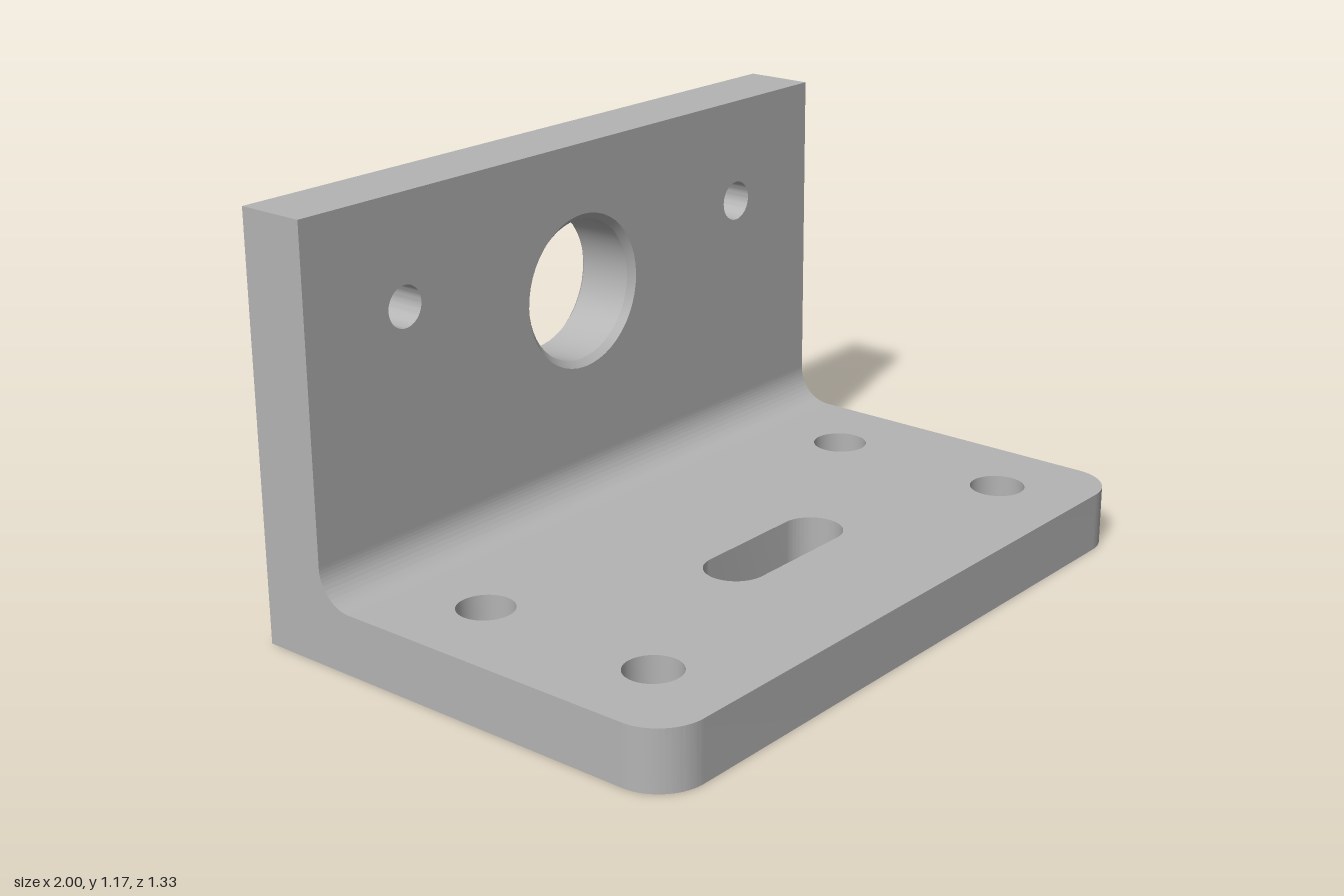
import * as THREE from 'three';
import { toCreasedNormals } from 'three/addons/utils/BufferGeometryUtils.js';

const W = 1, BACK = -0.667, FRONT = 0.667, WALL = -0.467; // half width and z planes
const BASE_H = 0.167, HEIGHT = 1.167;
const CORNER = 0.133, FILLET = 0.1;
const BORE_Y = 0.752, BORE = 0.2, CHAMFER = 0.018;

export function createModel() {
  const group = new THREE.Group();
  const steel = new THREE.MeshStandardMaterial({ color: 0xb4b4b4 });

  const add = (name, geometry) => {
    const mesh = new THREE.Mesh(toCreasedNormals(geometry, Math.PI / 6), steel);
    mesh.name = name;
    group.add(mesh);
  };
  const extrude = (shape, depth) =>
    new THREE.ExtrudeGeometry(shape, { depth, bevelEnabled: false, curveSegments: 24 });
  const hole = (x, y, r) => new THREE.Path().absarc(x, y, r, 0, Math.PI * 2, false);

  // Base plate, drawn in plan with shape y = -z
  const plan = new THREE.Shape();
  plan.moveTo(W, -WALL);
  plan.lineTo(-W, -WALL);
  plan.absarc(-W + CORNER, -FRONT + CORNER, CORNER, Math.PI, Math.PI * 1.5, false);
  plan.absarc(W - CORNER, -FRONT + CORNER, CORNER, Math.PI * 1.5, Math.PI * 2, false);
  plan.closePath();
  for (const x of [-0.75, 0.75])
    for (const z of [-0.135, 0.416]) plan.holes.push(hole(x, -z, 0.077));
  // Rounded slot
  const slotR = 0.086, slotX = 0.25 - slotR, slotY = -0.198;
  const slot = new THREE.Path();
  slot.absarc(slotX, slotY, slotR, -Math.PI / 2, Math.PI / 2, false);
  slot.absarc(-slotX, slotY, slotR, Math.PI / 2, Math.PI * 1.5, false);
  slot.closePath();
  plan.holes.push(slot);
  add('basePlate', extrude(plan, BASE_H).rotateX(-Math.PI / 2));

  // Upright wall with two screw holes and a large bore
  const face = new THREE.Shape([
    new THREE.Vector2(-W, 0), new THREE.Vector2(W, 0),
    new THREE.Vector2(W, HEIGHT), new THREE.Vector2(-W, HEIGHT),
  ]);
  for (const x of [-0.667, 0.667]) face.holes.push(hole(x, 0.87, 0.057));
  face.holes.push(hole(0, BORE_Y, BORE + CHAMFER));
  add('uprightWall', extrude(face, WALL - BACK).translate(0, 0, BACK));

  // Bore lining, chamfered at both ends
  const lining = [
    [BORE + CHAMFER, WALL], [BORE, WALL - CHAMFER],
    [BORE, BACK + CHAMFER], [BORE + CHAMFER, BACK],
  ].map(([r, z]) => new THREE.Vector2(r, z));
  add('boreLining', new THREE.LatheGeometry(lining, 48)
    .rotateX(Math.PI / 2).translate(0, BORE_Y, 0));

  // Concave fillet between base and wall, drawn with shape x = -z
  const corner = new THREE.Shape();
  corner.moveTo(-WALL, BASE_H);
  corner.lineTo(-WALL, BASE_H + FILLET);
  corner.absarc(-WALL - FILLET, BASE_H + FILLET, FILLET, 0, -Math.PI / 2, true);
  corner.closePath();
  add('innerFillet', extrude(corner, 2 * W).rotateY(Math.PI / 2).translate(-W, 0, 0));

  return group;
}
